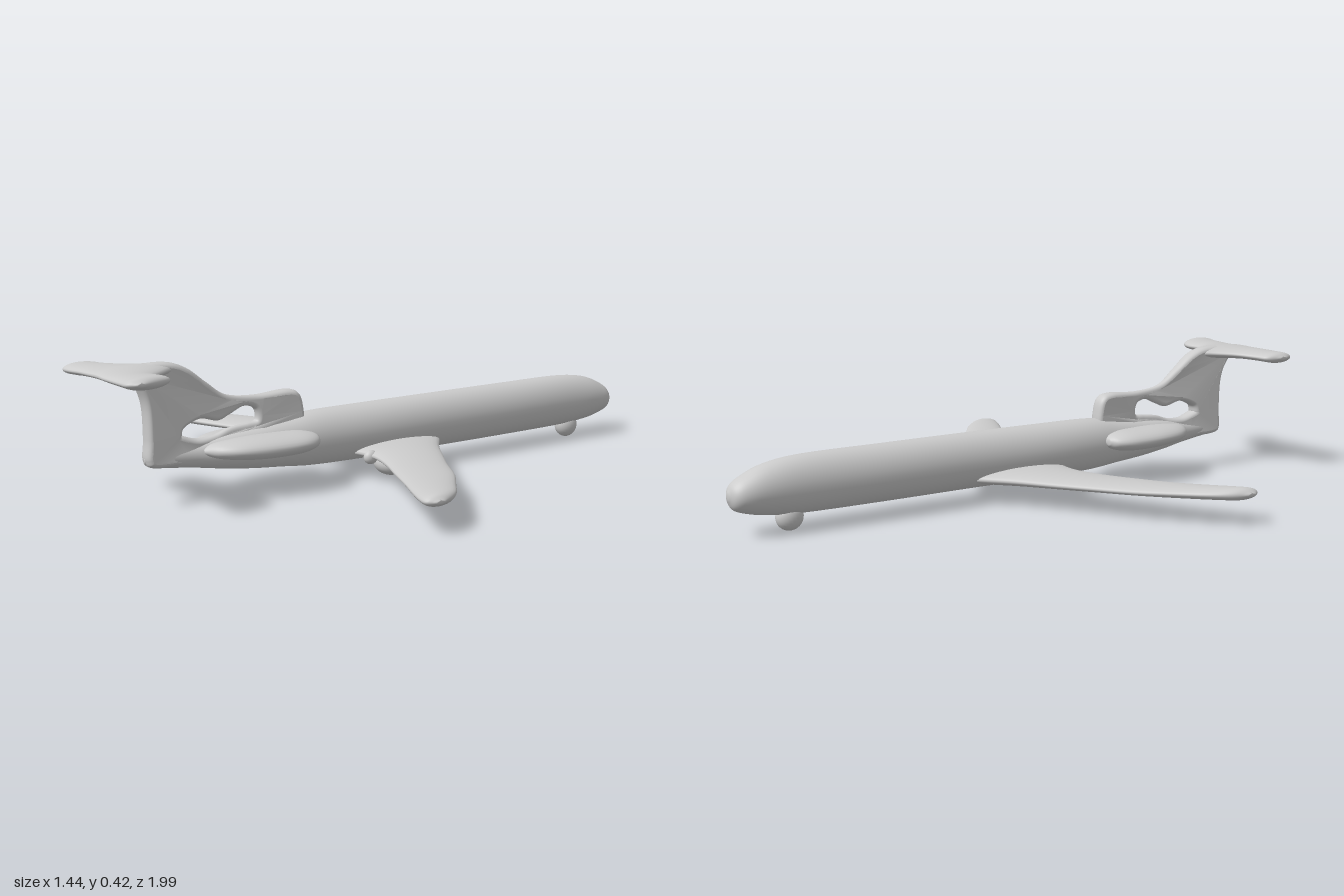
import * as THREE from 'three';
import { mergeVertices } from 'three/addons/utils/BufferGeometryUtils.js';

const material = new THREE.MeshStandardMaterial({ color: 0xcccccc });

function part(name, geometry) {
  const mesh = new THREE.Mesh(geometry, material);
  mesh.name = name;
  return mesh;
}

// Smooth loft of ellipses. Sections are [along, lowA, highA, lowB, highB]:
// axis 'z' uses A = x, B = y; axis 'x' uses A = y, B = z.
function loft(axis, sections, around = 28, perSection = 5) {
  const centre = new THREE.CatmullRomCurve3(sections.map(([p, a0, a1, b0, b1]) =>
    new THREE.Vector3(p, (a0 + a1) / 2, (b0 + b1) / 2)), false, 'catmullrom');
  const radius = new THREE.CatmullRomCurve3(sections.map(([, a0, a1, b0, b1]) =>
    new THREE.Vector3((a1 - a0) / 2, (b1 - b0) / 2, 0)), false, 'catmullrom');
  const steps = (sections.length - 1) * perSection;
  const pos = [], index = [];
  for (let i = 0; i <= steps; i++) {
    const c = centre.getPoint(i / steps), r = radius.getPoint(i / steps);
    for (let j = 0; j < around; j++) {
      const t = (j / around) * Math.PI * 2;
      const a = c.y + Math.max(r.x, 0.001) * Math.cos(t);
      const b = c.z + Math.max(r.y, 0.001) * Math.sin(t);
      pos.push(...(axis === 'z' ? [a, b, c.x] : [c.x, a, b]));
      if (i < steps) {
        const k = i * around + j, n = i * around + (j + 1) % around;
        index.push(k, n, k + around, n, n + around, k + around);
      }
    }
  }
  // End caps
  const last = steps * around;
  for (let j = 1; j < around - 1; j++) {
    index.push(0, j + 1, j, last, last + j, last + j + 1);
  }
  const g = new THREE.BufferGeometry();
  g.setAttribute('position', new THREE.Float32BufferAttribute(pos, 3));
  g.setIndex(index);
  g.computeVertexNormals();
  return g;
}

const ellipsoid = (x, y, z, rx, ry, rz) =>
  new THREE.SphereGeometry(1, 24, 16).scale(rx, ry, rz).translate(x, y, z);

const points = (list) => list.map(([a, b]) => new THREE.Vector2(a, b));

// Upright fin joined to a dorsal bump, with an irregular opening beneath
function finGeometry() {
  const shape = new THREE.Shape();
  shape.moveTo(0.3, 0.15);
  shape.splineThru(points([[0.305, 0.23], [0.32, 0.28], [0.36, 0.295], [0.47, 0.29], [0.57, 0.303],
    [0.64, 0.35], [0.7, 0.395], [0.76, 0.417], [0.84, 0.417], [0.88, 0.395], [0.85, 0.345],
    [0.835, 0.29], [0.832, 0.2], [0.835, 0.14], [0.81, 0.118], [0.7, 0.115], [0.5, 0.11], [0.34, 0.12]]));
  const hole = new THREE.Path();
  hole.moveTo(0.725, 0.2);
  hole.splineThru(points([[0.715, 0.225], [0.66, 0.245], [0.6, 0.232], [0.56, 0.245], [0.51, 0.265],
    [0.47, 0.252], [0.465, 0.215], [0.5, 0.207], [0.56, 0.2], [0.61, 0.185], [0.67, 0.182], [0.725, 0.2]]));
  shape.holes.push(hole);
  let g = new THREE.ExtrudeGeometry(shape, {
    depth: 0.012, bevelThickness: 0.02, bevelSize: 0.014, bevelOffset: -0.012, bevelSegments: 5, curveSegments: 60,
  });
  g.translate(0, 0, -0.006).rotateY(-Math.PI / 2);
  // Pinch the blade between the dorsal bump and the tail
  const p = g.attributes.position;
  for (let i = 0; i < p.count; i++) {
    const d = (p.getZ(i) - 0.54) / 0.13;
    p.setX(i, p.getX(i) * (1.05 - 0.55 * Math.exp(-d * d)));
  }
  g.deleteAttribute('uv');
  g.deleteAttribute('normal');
  g = mergeVertices(g, 1e-4);
  g.computeVertexNormals();
  return g;
}

export function createModel() {
  const model = new THREE.Group();
  model.name = 'airliner';

  // Fuselage, nose towards -z
  model.add(part('fuselage', loft('z', [
    [-1, -0.008, 0.008, 0.115, 0.135], [-0.985, -0.038, 0.038, 0.085, 0.16], [-0.95, -0.054, 0.054, 0.07, 0.182],
    [-0.88, -0.062, 0.064, 0.056, 0.208], [-0.76, -0.066, 0.068, 0.048, 0.222], [-0.5, -0.07, 0.073, 0.046, 0.223],
    [-0.2, -0.07, 0.075, 0.046, 0.223], [0.08, -0.075, 0.077, 0.046, 0.222], [0.27, -0.072, 0.072, 0.05, 0.22],
    [0.38, -0.065, 0.065, 0.06, 0.207], [0.48, -0.06, 0.06, 0.069, 0.195], [0.58, -0.05, 0.05, 0.082, 0.185],
    [0.67, -0.033, 0.033, 0.097, 0.172], [0.75, -0.026, 0.026, 0.108, 0.17], [0.81, -0.022, 0.022, 0.116, 0.17],
    [0.838, -0.004, 0.004, 0.13, 0.15],
  ], 32)));

  // Swept wings: span, bottom, top, leading edge, trailing edge
  const wing = [
    [0.0, 0.052, 0.108, -0.24, 0.17], [0.07, 0.054, 0.106, -0.185, 0.14], [0.15, 0.057, 0.104, -0.12, 0.135],
    [0.25, 0.06, 0.101, -0.055, 0.165], [0.36, 0.063, 0.1, 0.015, 0.215], [0.48, 0.067, 0.102, 0.085, 0.27],
    [0.59, 0.07, 0.107, 0.17, 0.325], [0.66, 0.073, 0.111, 0.225, 0.358], [0.7, 0.076, 0.111, 0.27, 0.368],
    [0.722, 0.088, 0.098, 0.315, 0.345],
  ];
  model.add(part('leftWing', loft('x', wing)));
  model.add(part('rightWing', loft('x', wing.map(([x, ...s]) => [-x, ...s]).reverse())));

  // Flattened engine nacelles blended into the rear body
  const nacelle = [
    [0.295, 0.07, 0.09, 0.14, 0.16], [0.315, 0.03, 0.12, 0.125, 0.172], [0.36, 0.0, 0.14, 0.115, 0.18],
    [0.43, -0.01, 0.145, 0.112, 0.182], [0.51, -0.01, 0.139, 0.114, 0.182], [0.58, -0.005, 0.12, 0.12, 0.178],
    [0.63, 0.0, 0.085, 0.128, 0.17], [0.66, 0.01, 0.035, 0.14, 0.155],
  ];
  model.add(part('leftNacelle', loft('z', nacelle)));
  model.add(part('rightNacelle', loft('z', nacelle.map(([z, a, b, c, d]) => [z, -b, -a, c, d]))));

  model.add(part('tailFin', finGeometry()));

  // Tailplane on top of the fin
  model.add(part('tailplane', loft('x', [
    [-0.225, 0.388, 0.398, 0.92, 0.95], [-0.205, 0.376, 0.41, 0.875, 0.985], [-0.16, 0.377, 0.412, 0.86, 0.99],
    [-0.1, 0.38, 0.415, 0.83, 0.985], [-0.045, 0.38, 0.418, 0.78, 0.982], [0, 0.378, 0.422, 0.73, 0.98],
    [0.045, 0.38, 0.418, 0.785, 0.98], [0.1, 0.381, 0.417, 0.842, 0.98], [0.16, 0.382, 0.42, 0.838, 0.984],
    [0.2, 0.386, 0.422, 0.86, 0.988], [0.225, 0.4, 0.41, 0.94, 0.965],
  ])));

  // Undercarriage bumps: one under the nose, one under the left wing root
  model.add(part('noseGear', ellipsoid(0, 0.042, -0.81, 0.033, 0.042, 0.043)));
  model.add(part('mainGear', ellipsoid(0.108, 0.045, 0.045, 0.06, 0.038, 0.046)));
  model.add(part('gearStub', ellipsoid(0.118, 0.075, 0.125, 0.018, 0.022, 0.024)));

  return model;
}
